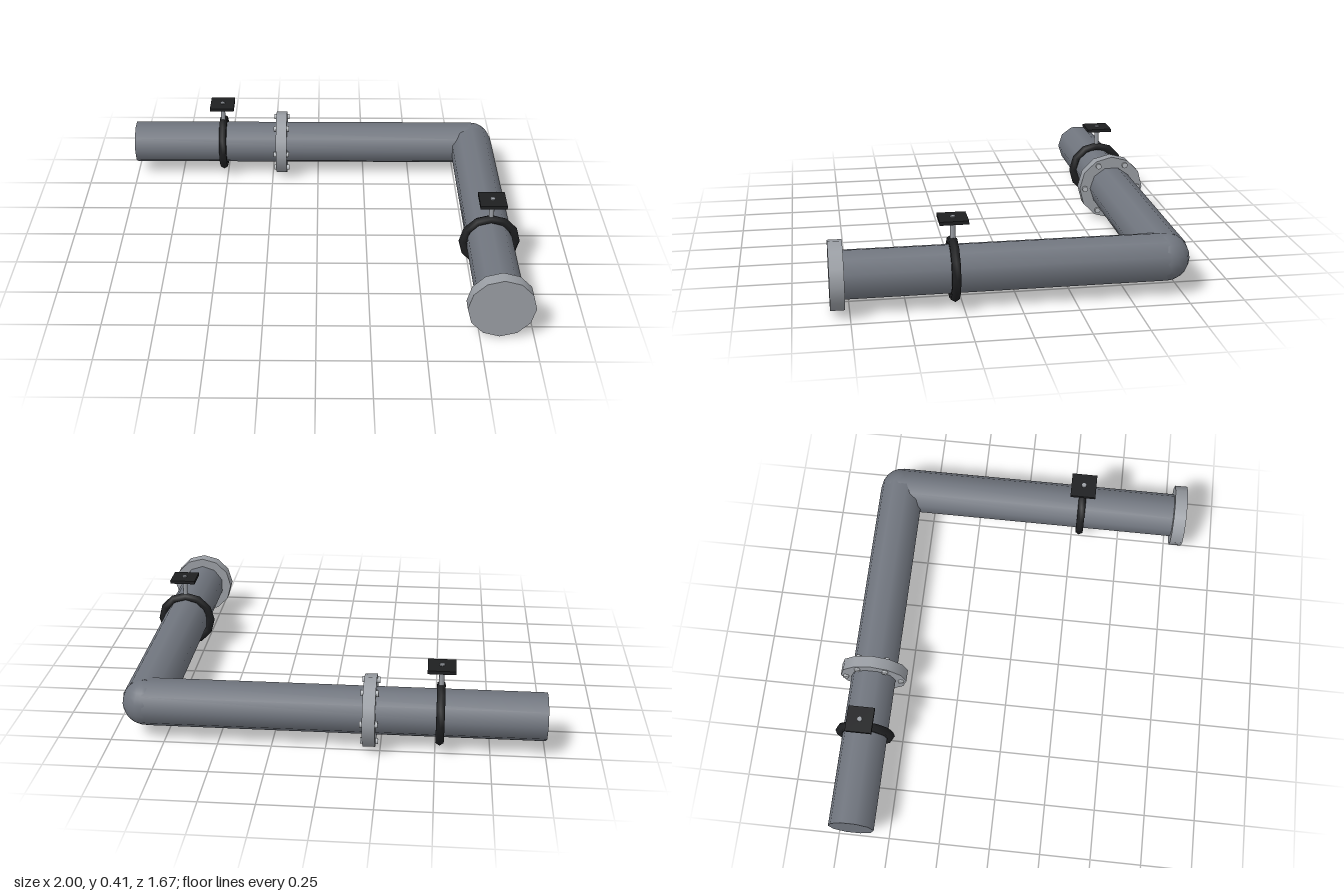
import * as THREE from 'three';

const CY = 0.167;        // height of the pipe axis
const PX = 0.84;         // x of the short run
const PZ = -0.672;       // z of the long run
const R = 0.112;         // pipe radius

const mat = (color) => new THREE.MeshStandardMaterial({ color });

export function createModel() {
  const model = new THREE.Group();
  const pipeMat = mat(0x70757e);
  const flangeMat = mat(0x9a9ea4);
  const boltMat = mat(0xb8bcc0);
  const darkMat = mat(0x1e1f21);

  const add = (parent, name, geometry, material, x, y, z) => {
    const mesh = new THREE.Mesh(geometry, material);
    mesh.name = name;
    mesh.position.set(x, y, z);
    parent.add(mesh);
    return mesh;
  };
  const alongX = (r, length, sides) => new THREE.CylinderGeometry(r, r, length, sides).rotateZ(Math.PI / 2);
  const alongZ = (r, length, sides) => new THREE.CylinderGeometry(r, r, length, sides).rotateX(Math.PI / 2);

  // Two pipe runs joined by a rounded corner
  add(model, 'longPipe', alongX(R, 1 + PX, 10), pipeMat, (PX - 1) / 2, CY, PZ);
  add(model, 'shortPipe', alongZ(R, 0.8 - PZ, 10), pipeMat, PX, CY, (0.8 + PZ) / 2);
  add(model, 'elbow', new THREE.SphereGeometry(0.109, 20, 12), pipeMat, PX, CY, PZ);

  // Blind flange closing the short run
  add(model, 'endFlange', alongZ(0.156, 0.064, 12), flangeMat, PX, CY, 0.803);

  // Bolted flange on the long run
  const joint = new THREE.Group();
  joint.name = 'boltedFlange';
  joint.position.set(-0.2, CY, PZ);
  model.add(joint);
  add(joint, 'flangeDisc', alongX(0.167, 0.058, 12), flangeMat, 0, 0, 0);
  for (let i = 0; i < 6; i++) {
    const a = (i * Math.PI) / 3;
    add(joint, 'bolt', alongX(0.015, 0.082, 8), boltMat, 0, Math.sin(a) * 0.14, Math.cos(a) * 0.14);
  }

  // Hanger: clamp ring around the pipe, stem and square mounting plate
  const addHanger = (x, z, turn) => {
    const hanger = new THREE.Group();
    hanger.name = 'hanger';
    hanger.position.set(x, CY, z);
    hanger.rotation.y = turn;
    model.add(hanger);
    add(hanger, 'clampRing', new THREE.TorusGeometry(0.127, 0.022, 6, 12), darkMat, 0, 0, 0);
    add(hanger, 'stem', new THREE.CylinderGeometry(0.012, 0.012, 0.13, 8), flangeMat, 0, 0.181, 0);
    add(hanger, 'plate', new THREE.BoxGeometry(0.128, 0.016, 0.128), darkMat, 0, 0.232, 0);
  };
  addHanger(-0.52, PZ, Math.PI / 2);
  addHanger(PX, 0.29, 0);

  return model;
}
